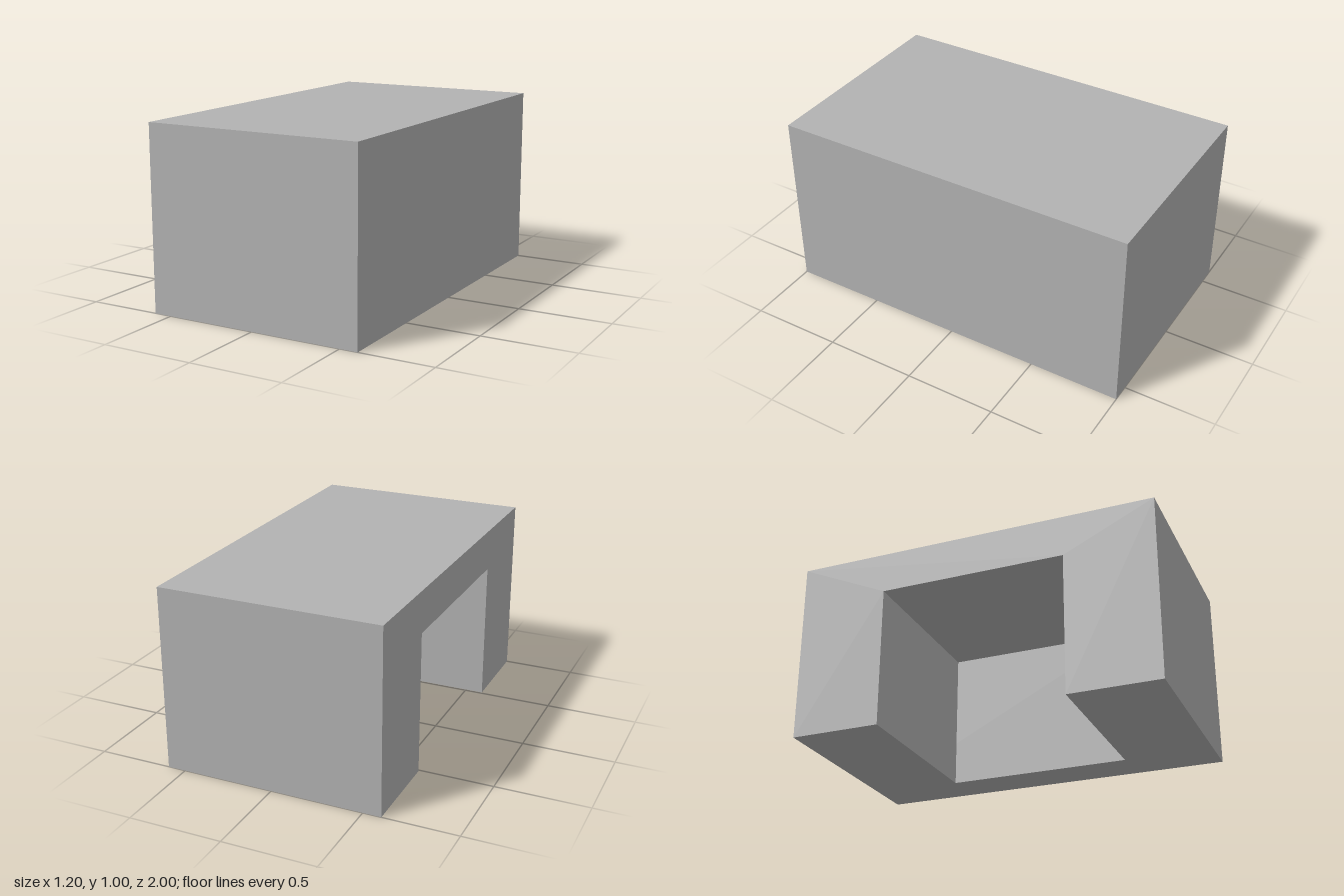
import * as THREE from 'three';

const HALF_WIDTH = 0.598, HEIGHT = 0.996, HALF_LENGTH = 1;
const INNER_X = 0.37;   // inside face of the closed wall
const OPEN_Z = 0.51;    // half length of the opening
const OPEN_Y = 0.77;    // underside of the roof

export function createModel() {
  const group = new THREE.Group();
  group.name = 'openSidedBlock';
  const grey = new THREE.MeshStandardMaterial({ color: 0xb2b2b2 });
  grey.name = 'plainGrey';

  // Roof and two end blocks: one arch profile extruded across the width
  const profile = new THREE.Shape([
    [-HALF_LENGTH, 0], [-OPEN_Z, 0], [-OPEN_Z, OPEN_Y], [OPEN_Z, OPEN_Y],
    [OPEN_Z, 0], [HALF_LENGTH, 0], [HALF_LENGTH, HEIGHT], [-HALF_LENGTH, HEIGHT],
  ].map(([z, y]) => new THREE.Vector2(z, y)));
  const archGeometry = new THREE.ExtrudeGeometry(profile, {
    depth: INNER_X + HALF_WIDTH, bevelEnabled: false,
  });
  archGeometry.rotateY(Math.PI / 2).translate(-HALF_WIDTH, 0, 0);
  const arch = new THREE.Mesh(archGeometry, grey);
  arch.name = 'roofAndEndBlocks';

  // Closed wall along the left side
  const thickness = HALF_WIDTH - INNER_X;
  const wall = new THREE.Mesh(new THREE.BoxGeometry(thickness, HEIGHT, 2 * HALF_LENGTH), grey);
  wall.position.set(INNER_X + thickness / 2, HEIGHT / 2, 0);
  wall.name = 'leftWall';

  group.add(arch, wall);
  return group;
}
